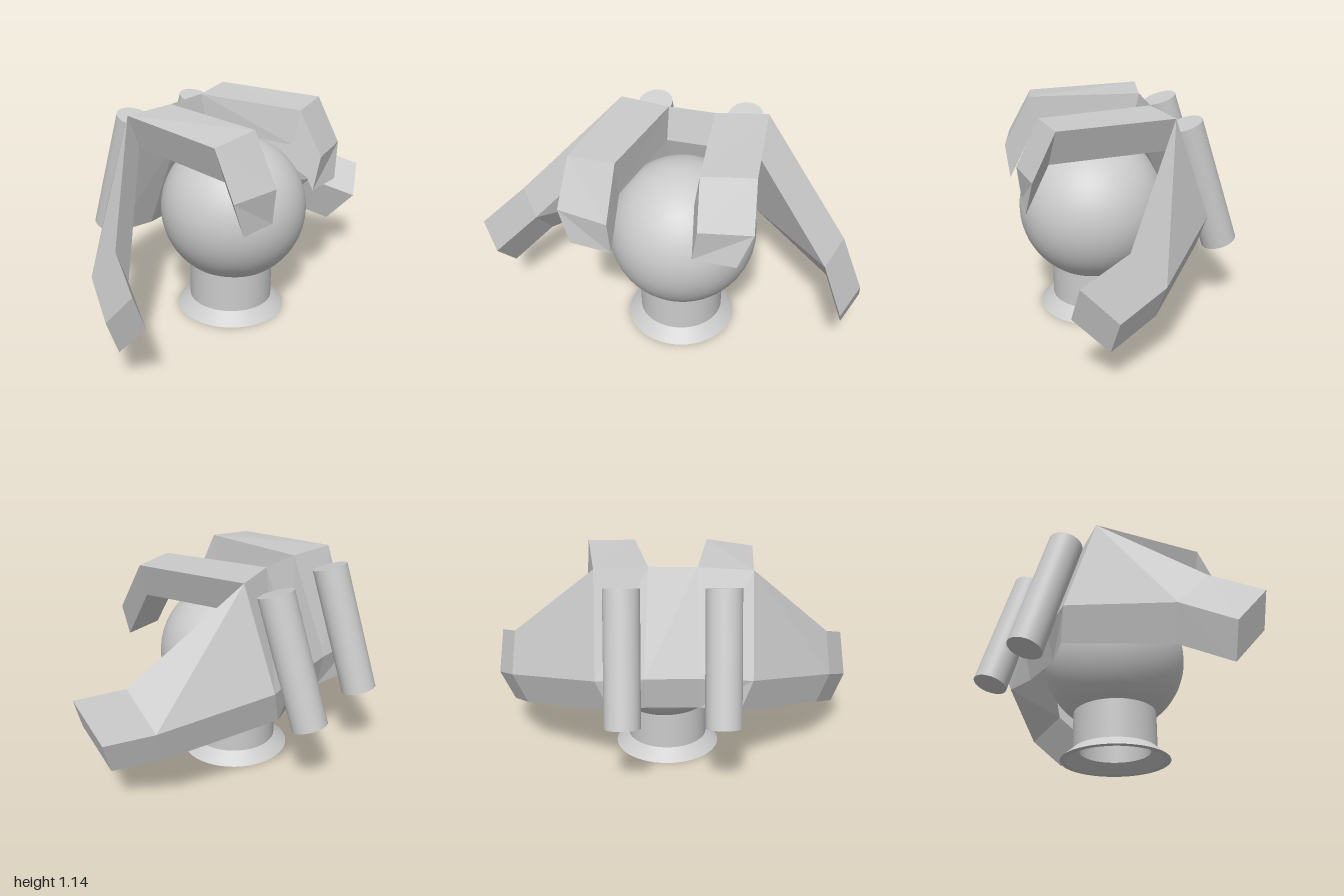
import * as THREE from 'three';

const material = new THREE.MeshStandardMaterial({ color: 0xcccccc });
const facetMaterial = new THREE.MeshStandardMaterial({ color: 0xcccccc, flatShading: true });
const shellMaterial = new THREE.MeshStandardMaterial({ color: 0xcccccc, side: THREE.DoubleSide });

function add(group, name, geometry, mat = material) {
  const mesh = new THREE.Mesh(geometry, mat);
  mesh.name = name;
  group.add(mesh);
  return mesh;
}

// Flat-faced beam through four-cornered sections. Each section holds two outer
// corners and the offsets from them to the two inner corners.
function beam(sections) {
  const rings = sections.map(([a, b, da, db]) => {
    const p = new THREE.Vector3(...a), q = new THREE.Vector3(...b);
    return [p, q, q.clone().add(new THREE.Vector3(...db)), p.clone().add(new THREE.Vector3(...da))];
  });
  const tris = [];
  const quad = (a, b, c, d) => tris.push([a, b, c], [a, c, d]);
  quad(...rings[0].slice().reverse());
  quad(...rings[rings.length - 1]);
  for (let i = 0; i < rings.length - 1; i++) {
    for (let k = 0; k < 4; k++) {
      const n = (k + 1) % 4;
      quad(rings[i][k], rings[i][n], rings[i + 1][n], rings[i + 1][k]);
    }
  }
  // Turn the faces outward whichever way the sections run
  const volume = tris.reduce((s, [a, b, c]) => s + a.dot(b.clone().cross(c)), 0);
  if (volume < 0) tris.forEach((t) => t.reverse());
  const geometry = new THREE.BufferGeometry().setFromPoints(tris.flat());
  geometry.computeVertexNormals();
  return geometry;
}

export function createModel() {
  const group = new THREE.Group();

  // Ball held by the hand
  const ball = add(group, 'ball', new THREE.SphereGeometry(0.39, 48, 32));
  ball.position.set(0.15, 0.58, -0.045);

  // Hollow neck and flared foot, one lathe band per sharp-edged section
  const stand = new THREE.Group();
  stand.name = 'stand';
  stand.position.set(0.147, 0, -0.035);
  group.add(stand);
  const bands = [
    ['footRim', 0.26, 0, 0.295, 0],
    ['footFlare', 0.295, 0, 0.225, 0.06],
    ['lowerNeck', 0.225, 0.06, 0.225, 0.12],
    ['upperNeck', 0.225, 0.12, 0.225, 0.28],
    ['innerFlare', 0.19, 0.05, 0.26, 0],
    ['innerNeck', 0.19, 0.25, 0.19, 0.05],
  ];
  for (const [name, r0, y0, r1, y1] of bands) {
    const profile = [new THREE.Vector2(r0, y0), new THREE.Vector2(r1, y1)];
    add(stand, name, new THREE.LatheGeometry(profile, 48), shellMaterial);
  }

  // Corners shared by the palm and the fingers
  const dFront = [0.015, -0.178, -0.06], dBack = [0.03, -0.183, 0.07];
  const dMidFront = [-0.02, -0.185, -0.005], dMidBack = [-0.02, -0.18, 0.03];
  const dPalm = [0.04, -0.18, 0];
  const front = { top: [-0.18, 1.125, 0.4], low: [-0.36, 0.6, 0.4] };
  const back = { top: [-0.2, 1.138, -0.4], low: [-0.38, 0.61, -0.4] };
  const midFront = { top: [-0.14, 1.13, 0.12], low: [-0.335, 0.6, 0.13] };
  const midBack = { top: [-0.14, 1.133, -0.13], low: [-0.345, 0.605, -0.15] };

  // Bent palm plate
  add(group, 'palm', beam([
    [front.top, front.low, dFront, dFront],
    [midFront.top, midFront.low, dPalm, dPalm],
    [midBack.top, midBack.low, dPalm, dPalm],
    [back.top, back.low, dBack, dBack],
  ]), facetMaterial);

  // Wide side fingers: base, knuckle, tip
  add(group, 'frontSideFinger', beam([
    [front.top, front.low, dFront, dFront],
    [[0.17, 0.665, 0.865], [0, 0.475, 0.865], dFront, dFront],
    [[0.4, 0.57, 1], [0.225, 0.375, 1], dFront, dFront],
  ]), facetMaterial);
  add(group, 'backSideFinger', beam([
    [back.top, back.low, dBack, dBack],
    [[0.13, 0.69, -0.88], [-0.04, 0.5, -0.88], dBack, dBack],
    [[0.375, 0.605, -1], [0.2, 0.41, -1], dBack, dBack],
  ]), facetMaterial);

  // Upper fingers reaching over the ball
  add(group, 'frontUpperFinger', beam([
    [front.top, midFront.top, dFront, dPalm],
    [[0.412, 1.095, 0.455], [0.45, 1.125, 0.195], dFront, dMidFront],
    [[0.54, 0.86, 0.475], [0.585, 0.86, 0.2], dFront, dMidFront],
  ]), facetMaterial);
  add(group, 'backUpperFinger', beam([
    [back.top, midBack.top, dBack, dPalm],
    [[0.39, 1.135, -0.475], [0.44, 1.125, -0.215], dBack, dMidBack],
    [[0.51, 0.9, -0.5], [0.56, 0.895, -0.24], dBack, dMidBack],
  ]), facetMaterial);

  // Pair of tilted cylinders behind the palm
  const low = new THREE.Vector3(-0.495, 0.405, 0), high = new THREE.Vector3(-0.285, 1.065, 0);
  const axis = high.clone().sub(low);
  for (const [name, z] of [['frontCylinder', 0.245], ['backCylinder', -0.26]]) {
    const tube = add(group, name, new THREE.CylinderGeometry(0.093, 0.093, axis.length(), 32));
    tube.position.addVectors(low, high).multiplyScalar(0.5).setZ(z);
    tube.quaternion.setFromUnitVectors(new THREE.Vector3(0, 1, 0), axis.clone().normalize());
  }
  return group;
}
